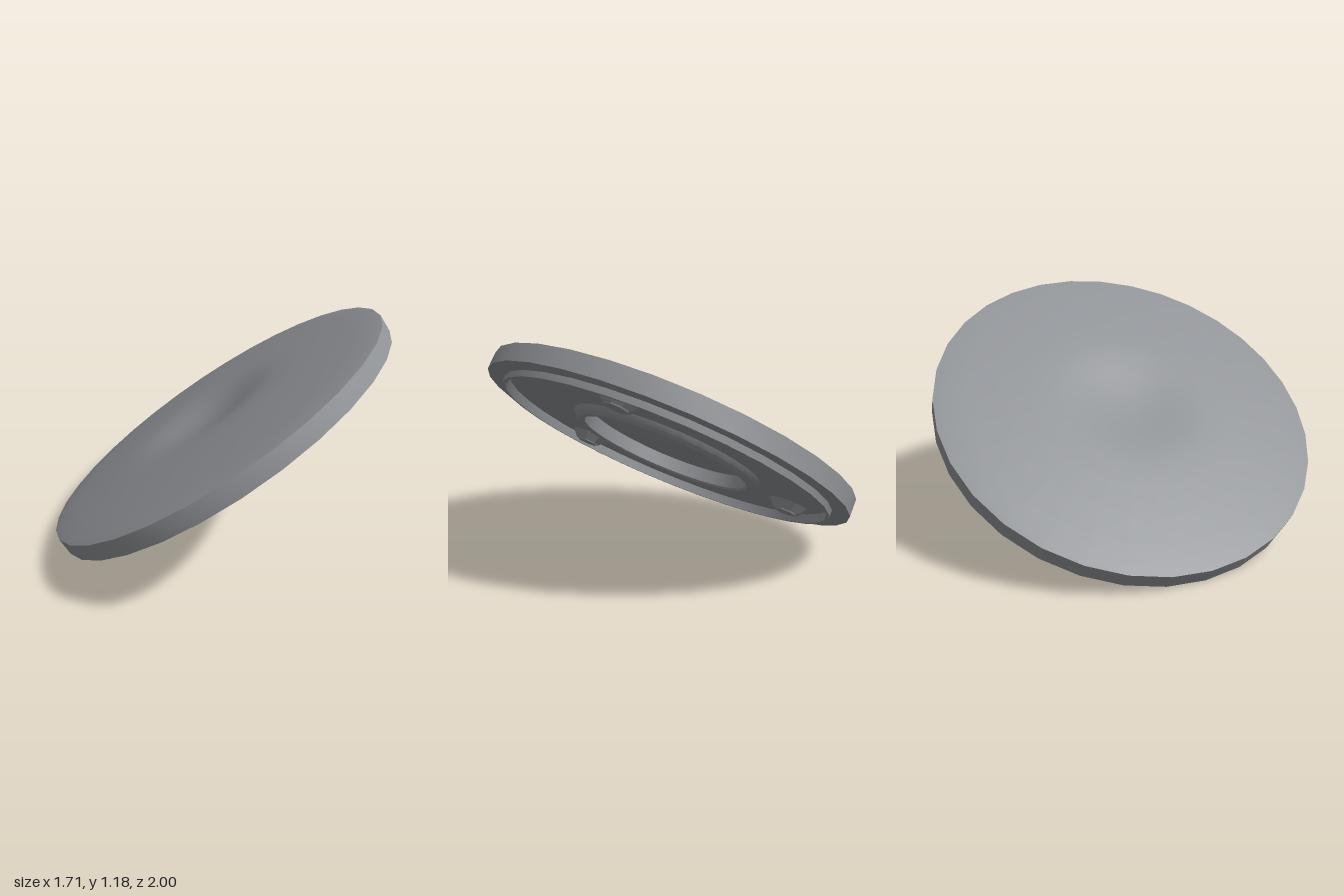
import * as THREE from 'three';
import { toCreasedNormals } from 'three/addons/utils/BufferGeometryUtils.js';

const grey = new THREE.MeshStandardMaterial({ color: 0x909397 });
grey.name = 'plain grey';

// Surface of revolution from [radius, height] pairs, with sharp edges kept
function turned(name, profile, sides = 32) {
  const points = profile.map(([r, h]) => new THREE.Vector2(r, h));
  const geometry = toCreasedNormals(new THREE.LatheGeometry(points, sides), 0.5);
  const mesh = new THREE.Mesh(geometry, grey);
  mesh.name = name;
  return mesh;
}

export function createModel() {
  const model = new THREE.Group();
  model.name = 'tiltedDish';
  const disc = new THREE.Group();
  disc.name = 'disc';
  model.add(disc);

  // Underside, from the centre outwards
  disc.add(turned('hubDish', [[0, 0.035], [0.12, 0.04], [0.25, 0.053], [0.36, 0.063], [0.46, 0.065]]));
  disc.add(turned('hubRing', [[0.46, 0.065], [0.46, -0.01], [0.47, -0.02], [0.49, -0.02], [0.515, -0.005], [0.53, 0.02]]));
  disc.add(turned('floor', [[0.53, 0.02], [0.89, 0.02]]));
  disc.add(turned('outerRing', [[0.89, 0.02], [0.893, -0.03], [0.908, -0.03], [0.912, 0]]));

  // Rim and the gently domed top with its central dimple
  disc.add(turned('rim', [[0.912, 0], [1, 0], [1, 0.09]]));
  disc.add(turned('top', [
    [1, 0.09], [0.96, 0.098], [0.85, 0.108], [0.7, 0.118], [0.55, 0.127],
    [0.42, 0.13], [0.33, 0.126], [0.22, 0.106], [0.1, 0.088], [0, 0.084],
  ]));

  // Three feet on the underside
  for (let i = 0; i < 3; i++) {
    const angle = THREE.MathUtils.degToRad(98.5 + i * 120);
    const foot = turned('foot', [
      [0, -0.031], [0.06, -0.031], [0.065, -0.022], [0.075, -0.022], [0.112, 0.02],
    ], 8);
    foot.position.set(0.74 * Math.cos(angle), 0, 0.74 * Math.sin(angle));
    foot.rotation.y = -angle;
    disc.add(foot);
  }

  // Lean the disc up towards its left
  disc.rotation.z = THREE.MathUtils.degToRad(33.7);
  disc.position.set(0.02, 0.555, 0);
  return model;
}
